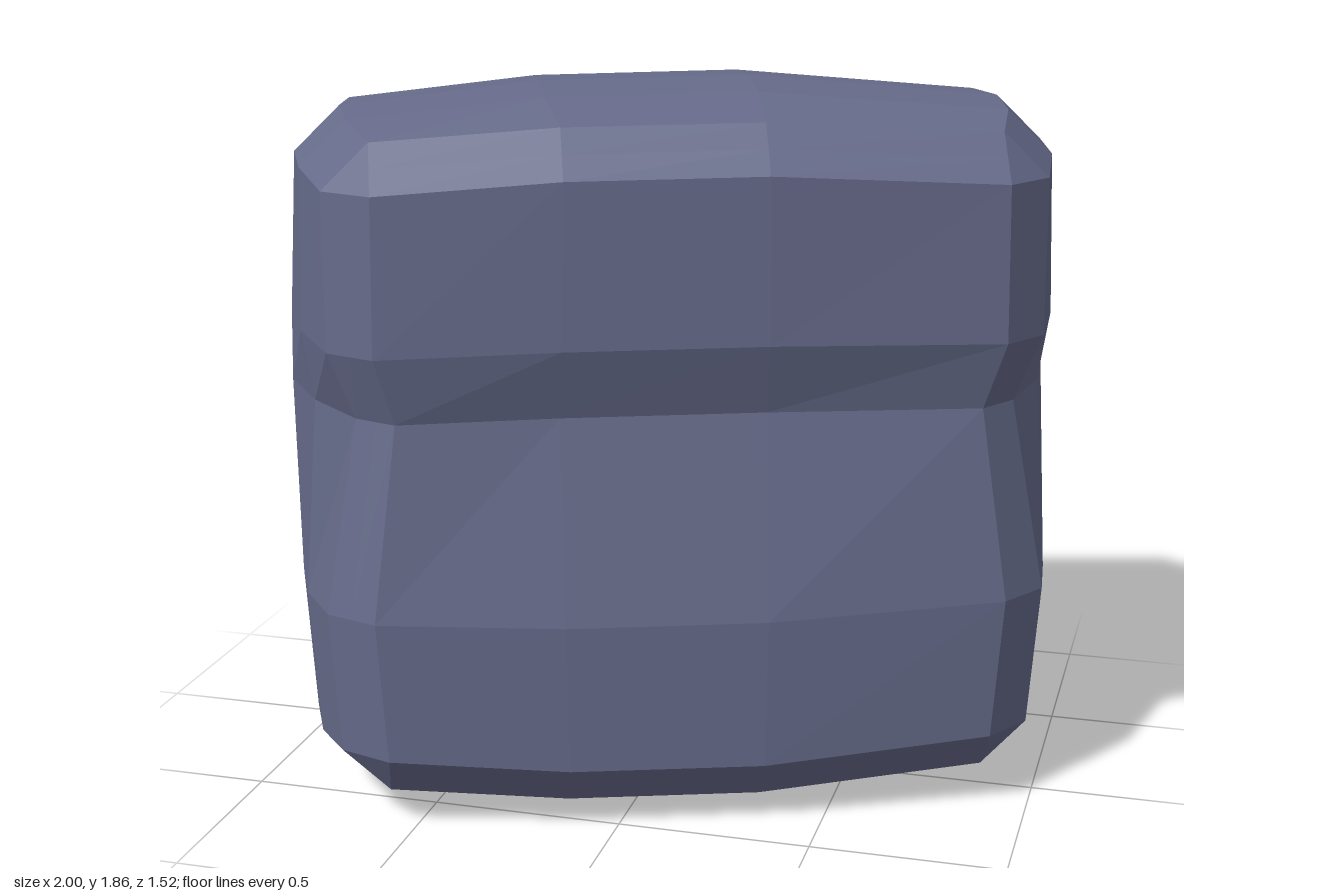
import * as THREE from 'three';

// Grid lines across each axis (-1..1 reaches the bevel rim of a face)
const LINES = [
  [-1, -0.41, 0.23, 1],
  [-1, -0.48, 0.21, 0.45, 1],
  [-1, -0.5, 0, 0.5, 1],
];
const BEVEL = [0.118, 0.115, 0.092]; // how far each face stands out from its rim
const GROOVE = { 2: 1, 3: 0.25 };    // groove strength per horizontal line

function pillowBlock() {
  const seg = LINES.map((l) => l.length + 1);
  const geo = new THREE.BoxGeometry(2, 2, 2, ...seg);
  const pos = geo.attributes.position;
  const p = new THREE.Vector3();

  for (let n = 0; n < pos.count; n++) {
    p.fromBufferAttribute(pos, n);
    const idx = p.toArray().map((v, k) => Math.round((v / 2 + 0.5) * seg[k]));
    const line = idx.map((i, k) => THREE.MathUtils.clamp(i - 1, 0, LINES[k].length - 1));
    const g = line.map((i, k) => LINES[k][i]);
    const side = idx.map((i, k) => (i === 0 ? -1 : i === seg[k] ? 1 : 0));
    const faces = side.filter((s) => s !== 0).length;

    // bulging core
    const [bx, by, bz] = g.map((v) => 1 - v * v);
    const q = [
      g[0] * (0.771 + 0.03 * by + 0.077 * bz),
      g[1] * (0.72 + 0.04 * bx + 0.035 * bz + 0.025 * bx * bz),
      g[2] * (0.395 + 0.02 * by + 0.04 * bx),
    ];
    // faces pushed outwards; edges and corners lie on flat chamfers
    side.forEach((s, k) => { q[k] += (s * BEVEL[k]) / faces; });

    // horizontal groove across the front, fading out along both ends
    const w = side[1] === 0 ? GROOVE[line[1]] || 0 : 0;
    const front = side[2] === 1 ? 1 / faces : 0;
    const flank = side[0] !== 0 ? 1 / faces : 0;
    const rim = Math.abs(g[0]) === 1;
    if (w && g[2] === 1) {
      q[2] -= w * ((rim ? 0.055 : 0.085) * front + 0.036 * flank);
      if (rim) q[0] -= w * g[0] * (0.07 * front + 0.093 * flank);
    } else if (w && g[2] === 0.5) {
      q[0] -= w * g[0] * 0.045 * flank;
    }
    pos.setXYZ(n, ...q);
  }
  const flat = geo.toNonIndexed();
  flat.computeVertexNormals();
  return flat;
}

export function createModel() {
  const group = new THREE.Group();
  group.name = 'groovedBlock';
  const block = new THREE.Mesh(
    pillowBlock(),
    new THREE.MeshStandardMaterial({ color: 0x666b8a, flatShading: true })
  );
  block.name = 'block';
  block.position.set(0.01, 0.922, 0.003);
  block.rotation.y = THREE.MathUtils.degToRad(21.3);
  group.add(block);
  return group;
}
